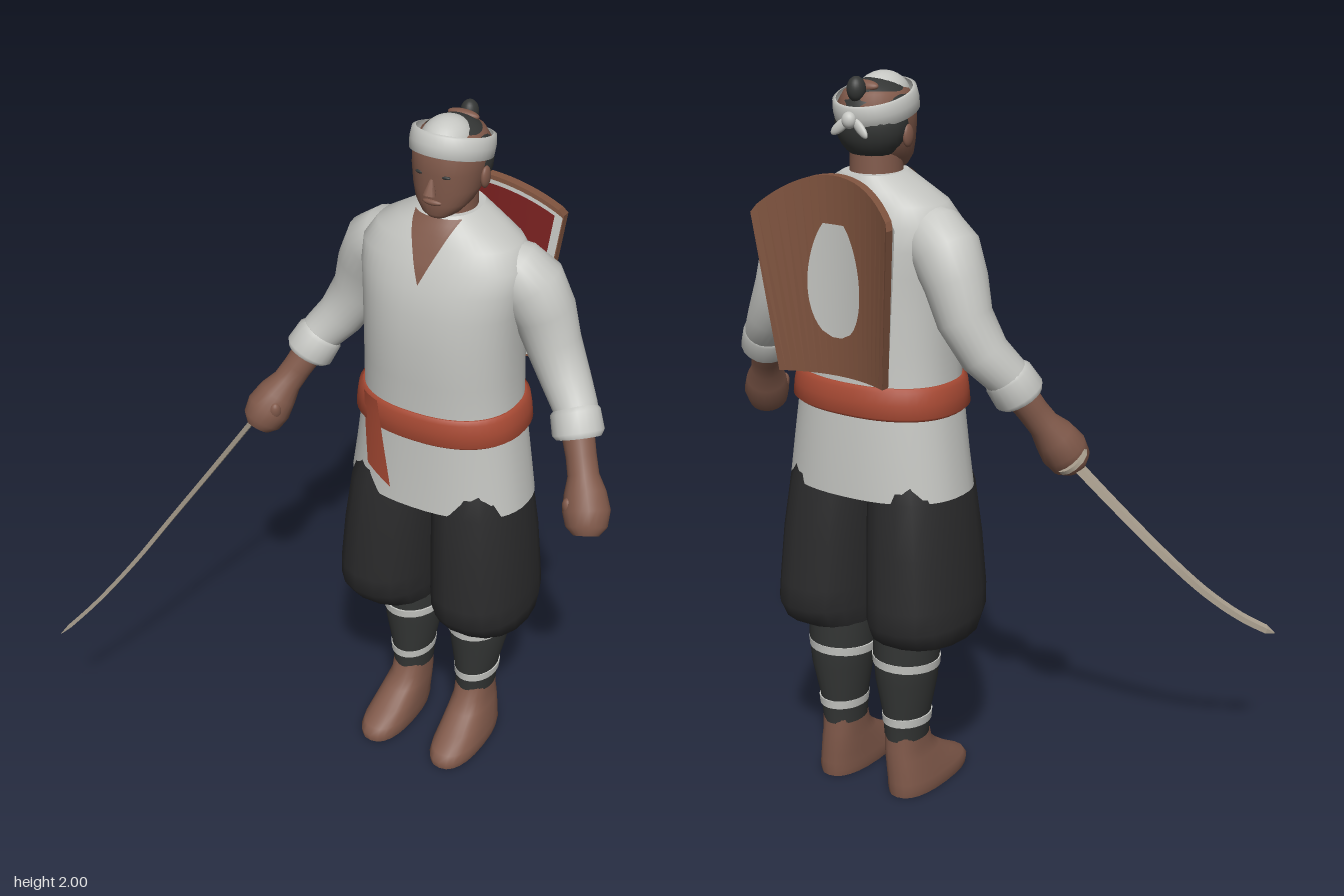
import * as THREE from 'three';

const V = (x, y, z) => new THREE.Vector3(x, y, z);
const paint = (name, color, side = THREE.FrontSide) => {
  const m = new THREE.MeshStandardMaterial({ color, side });
  m.name = name;
  return m;
};

export function createModel() {
  const cloth = paint('off-white cloth', 0xc6c7c3, THREE.DoubleSide);
  const skin = paint('brown skin', 0x80594a, THREE.DoubleSide);
  const rust = paint('rust sash', 0xa84a34, THREE.DoubleSide);
  const black = paint('black trousers', 0x2b2b2c);
  const dark = paint('dark wraps and hair', 0x343635);
  const wood = paint('wood', 0x80543f);
  const red = paint('dark red', 0x78201f, THREE.DoubleSide);
  const steel = paint('pale steel', 0xb0a594);

  const model = new THREE.Group();
  model.name = 'swordsman';
  const body = new THREE.Group();
  body.name = 'body';
  body.position.x = 0.175;
  model.add(body);

  const add = (name, geo, mat, pos = [0, 0, 0], rot = [0, 0, 0]) => {
    const m = new THREE.Mesh(geo, mat);
    m.name = name;
    m.position.set(...pos);
    m.rotation.set(...rot);
    body.add(m);
    return m;
  };
  const ball = (name, mat, pos, r, rot) => add(name, new THREE.SphereGeometry(1, 24, 16).scale(...r), mat, pos, rot);

  // Joins rings of points (counter-clockwise about the path) and caps both ends
  const skinRings = (rings, flat = false) => {
    const n = rings[0].length, pts = rings.flat(), index = [];
    for (let i = 0; i < rings.length - 1; i++)
      for (let j = 0; j < n; j++) {
        const a = i * n + j, b = i * n + (j + 1) % n;
        index.push(a, b, b + n, a, b + n, a + n);
      }
    [[rings[0], true], [rings[rings.length - 1], false]].forEach(([ring, start]) => {
      const base = pts.length, mid = V(0, 0, 0);
      ring.forEach((p) => mid.addScaledVector(p, 1 / n));
      pts.push(...ring, mid);
      for (let j = 0; j < n; j++) {
        const k = (j + 1) % n;
        index.push(base + n, base + (start ? k : j), base + (start ? j : k));
      }
    });
    let g = new THREE.BufferGeometry().setFromPoints(pts);
    g.setIndex(index);
    if (flat) g = g.toNonIndexed();
    g.computeVertexNormals();
    return g;
  };

  // Stack of horizontal rounded sections [y, x, z, halfWidth, halfDepth], bottom first
  const sgnPow = (c, e) => Math.sign(c) * Math.abs(c) ** e;
  const stack = (rows, seg = 32, p = 2, tilt = 0, s = 1) => skinRings(rows.map(([y, x, z, rx, rz]) =>
    Array.from({ length: seg }, (_, j) => {
      const a = j / seg * Math.PI * 2, c = Math.cos(a), q = Math.sin(a);
      return V(s * x + rx * sgnPow(c, 2 / p), y + tilt * Math.sin(a + 0.6), z - rz * sgnPow(q, 2 / p));
    })));

  // Round limb along points [x, y, z, radius]
  const limb = (rows, s, seg = 20) => {
    const c = rows.map(([x, y, z]) => V(s * x, y, z));
    return skinRings(c.map((p, i) => {
      const t = c[Math.min(i + 1, c.length - 1)].clone().sub(c[Math.max(i - 1, 0)]).normalize();
      const u = t.clone().cross(V(0, 0, 1)).normalize(), v = t.clone().cross(u);
      return Array.from({ length: seg }, (_, j) => {
        const a = j / seg * Math.PI * 2, r = rows[i][3];
        return p.clone().addScaledVector(u, r * Math.cos(a)).addScaledVector(v, r * Math.sin(a));
      });
    }));
  };

  // Thin patch from a rule f(u, v), u in -1..1 and v in 0..1
  const patch = (f, nu = 12, nv = 12) => {
    const pts = [], index = [];
    for (let i = 0; i <= nv; i++) for (let j = 0; j <= nu; j++) {
      pts.push(f(j / nu * 2 - 1, i / nv));
      const a = i * (nu + 1) + j;
      if (i < nv && j < nu) index.push(a, a + 1, a + nu + 2, a, a + nu + 2, a + nu + 1);
    }
    const g = new THREE.BufferGeometry().setFromPoints(pts);
    g.setIndex(index);
    g.computeVertexNormals();
    return g;
  };

  // Tunic
  const P = 2.3;
  const torso = [
    [0.90, 0, -0.198, 0.265, 0.183], [1.00, 0, -0.197, 0.25, 0.18], [1.13, 0, -0.193, 0.232, 0.175],
    [1.20, 0, -0.19, 0.222, 0.172], [1.30, 0, -0.185, 0.22, 0.175], [1.40, 0, -0.18, 0.22, 0.174],
    [1.50, 0, -0.18, 0.225, 0.17], [1.57, 0, -0.185, 0.235, 0.16], [1.63, 0, -0.19, 0.235, 0.145],
    [1.68, 0, -0.195, 0.20, 0.125], [1.715, 0, -0.20, 0.14, 0.11], [1.75, 0, -0.205, 0.08, 0.09]];
  add('tunic', stack(torso, 48, P), cloth);
  const onTunic = (x, y, lift) => {
    const i = Math.max(1, torso.findIndex((r) => r[0] >= y)), a = torso[i - 1], b = torso[i];
    const [, , cz, rx, rz] = a.map((k, n) => k + (b[n] - k) * (y - a[0]) / (b[0] - a[0]));
    return V(x, y, cz + lift + rz * Math.max(0, 1 - Math.abs(x / rx) ** P) ** (1 / P));
  };
  add('openCollar', patch((u, v) => onTunic(u * 0.068 * v, 1.585 + 0.16 * v, 0.006)), skin);

  // Sash with its hanging end
  add('sash', stack([[1.122, 0, -0.193, 0.236, 0.178], [1.132, 0, -0.193, 0.247, 0.19], [1.168, 0, -0.192, 0.243, 0.189],
    [1.2, 0, -0.19, 0.237, 0.186], [1.21, 0, -0.19, 0.226, 0.176]], 48, P, 0.004), rust);
  add('sashEnd', patch((u, v) => {
    const y = 1.21 - 0.24 * v - 0.02 * v * u;
    return onTunic(-0.14 + 0.035 * v + u * (0.03 + 0.012 * v), y, 0.02 - 0.008 * v);
  }), rust);

  for (const s of [-1, 1]) {
    const side = s > 0 ? 'left' : 'right';
    // Arms
    add(side + 'Sleeve', limb([[0.13, 1.62, -0.2, 0.07], [0.185, 1.595, -0.21, 0.088], [0.228, 1.56, -0.22, 0.094],
      [0.265, 1.49, -0.23, 0.085], [0.295, 1.40, -0.235, 0.075], [0.345, 1.31, -0.22, 0.067],
      [0.39, 1.255, -0.19, 0.06], [0.41, 1.22, -0.17, 0.056]], s, 24), cloth);
    add(side + 'Cuff', limb([[0.388, 1.256, -0.187, 0.058], [0.393, 1.247, -0.183, 0.067], [0.415, 1.2, -0.163, 0.07],
      [0.42, 1.188, -0.158, 0.06]], s), cloth);
    add(side + 'ForearmAndFist', limb([[0.405, 1.22, -0.17, 0.045], [0.44, 1.15, -0.135, 0.041], [0.46, 1.11, -0.112, 0.042],
      [0.478, 1.075, -0.09, 0.056], [0.495, 1.035, -0.068, 0.064], [0.507, 1.0, -0.048, 0.056], [0.513, 0.98, -0.036, 0.034]], s), skin);
    ball(side + 'Thumb', skin, [s * 0.462, 1.04, -0.045], [0.022, 0.04, 0.022], [0.3, 0, s * 0.3]);

    // Trousers, leg wraps and feet
    add(side + 'TrouserLeg', stack([[0.477, 0.135, -0.215, 0.11, 0.13], [0.49, 0.146, -0.21, 0.135, 0.16], [0.54, 0.149, -0.205, 0.138, 0.193],
      [0.6, 0.147, -0.2, 0.138, 0.193], [0.75, 0.139, -0.197, 0.133, 0.185], [0.9, 0.128, -0.193, 0.124, 0.17],
      [0.98, 0.12, -0.195, 0.11, 0.15]], 18, 2.3, 0, s), black);
    add(side + 'LegWrap', stack([[0.17, 0.106, -0.245, 0.056, 0.073], [0.25, 0.107, -0.245, 0.063, 0.08], [0.35, 0.109, -0.247, 0.083, 0.095],
      [0.42, 0.109, -0.247, 0.089, 0.1], [0.52, 0.109, -0.247, 0.09, 0.1]], 24, 2, 0, s), dark);
    [[0.218, 0.063, 0.08, 0.003], [0.392, 0.09, 0.101, 0.009]].forEach(([y, rx, rz, tilt]) =>
      add(side + 'WrapCord', stack([[y, 0.108, -0.246, rx, rz], [y + 0.024, 0.108, -0.246, rx + 0.002, rz + 0.002]], 24, 2, tilt, s), cloth));
    add(side + 'Foot', stack([[0, 0.118, -0.16, 0.066, 0.157], [0.02, 0.118, -0.16, 0.07, 0.16], [0.04, 0.117, -0.168, 0.068, 0.152],
      [0.07, 0.114, -0.195, 0.064, 0.125], [0.11, 0.11, -0.225, 0.058, 0.095], [0.14, 0.107, -0.24, 0.053, 0.078],
      [0.19, 0.106, -0.246, 0.052, 0.07]], 24, 2.4, 0, s), skin);
    // Face details
    ball(side + 'Ear', skin, [s * 0.097, 1.845, -0.195], [0.011, 0.03, 0.02]);
    ball(side + 'Eye', dark, [s * 0.036, 1.868, -0.095], [0.014, 0.005, 0.006]);
  }

  // Neck and head
  add('neck', stack([[1.6, 0, -0.2, 0.08, 0.08], [1.72, 0, -0.2, 0.07, 0.075], [1.82, 0, -0.2, 0.066, 0.07]]), skin);
  add('head', stack([[1.745, 0, -0.145, 0.032, 0.042], [1.757, 0, -0.15, 0.05, 0.056], [1.785, 0, -0.163, 0.074, 0.072],
    [1.82, 0, -0.183, 0.088, 0.094], [1.87, 0, -0.19, 0.095, 0.104], [1.92, 0, -0.195, 0.097, 0.108],
    [1.955, 0, -0.195, 0.078, 0.088], [1.975, 0, -0.195, 0.045, 0.05]], 32, 2.2), skin);
  add('nose', new THREE.ConeGeometry(0.018, 0.06, 8), skin, [0, 1.845, -0.088], [-0.3, 0, 0]);
  ball('mouth', skin, [0, 1.793, -0.096], [0.028, 0.009, 0.012]);

  // Hair, crown cloth and topknot
  ball('backHair', dark, [0, 1.875, -0.216], [0.1, 0.1, 0.09]);
  add('topHair', new THREE.SphereGeometry(1, 32, 10, 0, Math.PI * 2, 0, Math.PI * 0.42).scale(0.103, 0.1, 0.112), dark, [0, 1.888, -0.197]);
  ball('crownCloth', cloth, [0, 1.935, -0.165], [0.068, 0.065, 0.08]);
  ball('shavedPatch', skin, [0, 1.972, -0.25], [0.045, 0.014, 0.018], [-0.4, 0, 0]);
  ball('topknot', dark, [0, 1.967, -0.282], [0.024, 0.033, 0.026]);

  // Headband, tilted down to a knot at the back
  const band = [[0.098, -0.03], [0.107, -0.027], [0.109, 0], [0.106, 0.027], [0.097, 0.03]].map((p) => new THREE.Vector2(...p));
  add('headband', new THREE.LatheGeometry(band, 40).scale(1, 1, 1.09), cloth, [0, 1.922, -0.197], [-0.24, 0, 0]);
  ball('bandKnot', cloth, [0, 1.893, -0.316], [0.02, 0.022, 0.018]);
  for (const s of [-1, 1]) ball('bandTail', cloth, [s * 0.03, 1.875, -0.312], [0.034, 0.014, 0.009], [0, s * 0.2, -s * 0.7]);

  // Curved shield on the back
  const shieldZ = (x, y) => -0.355 - (y - 1.235) * 0.015 - 1.5 * x * x;
  const onShield = (u, v, off) => {
    const y = 1.235 + v * (0.53 - 0.105 * u * u), x = u * (0.165 + 0.055 * (y - 1.235) / 0.425);
    return V(Math.max(-0.212, Math.min(0.212, x)), y, shieldZ(x, y) + off);
  };
  const shieldRings = Array.from({ length: 21 }, (_, i) => {
    const u = i / 10 - 1;
    return [onShield(u, 0, -0.027), onShield(u, 1, -0.027), onShield(u, 1, 0), onShield(u, 0, 0)];
  });
  add('shield', skinRings(shieldRings, true), wood);
  const lining = (name, mat, w, v0, v1, off) => add(name, patch((u, v) => onShield(u * w, v0 + v * (v1 - v0), off), 20, 4), mat);
  lining('shieldLining', cloth, 0.97, 0.02, 0.98, 0.003);
  lining('shieldRedPanel', red, 0.88, 0.04, 0.96, 0.005);
  for (const v of [0.12, 0.26, 0.4, 0.54]) lining('shieldStripe', cloth, 0.88, v, v + 0.06, 0.007);
  add('shieldEmblem', patch((u, v) => {
    const y = 1.34 + 0.3 * v, x = u * 0.082 * Math.sqrt(Math.sin(Math.PI * (0.01 + 0.94 * v ** 0.8)));
    return V(x, y, shieldZ(x, y) - 0.031);
  }, 12, 20), cloth);

  // Curved sword held in the right hand
  const path = new THREE.CatmullRomCurve3([[-0.345, 1.02, -0.08], [-0.44, 0.855, 0.03], [-0.53, 0.70, 0.14],
    [-0.60, 0.575, 0.245], [-0.665, 0.475, 0.35], [-0.725, 0.402, 0.448]].map(([x, y, z]) => V(x - 0.175, y, z)));
  const start = path.getPoint(0), dir = path.getTangent(0);
  const flatSide = path.getPoint(0.5).sub(start).cross(path.getPoint(1).sub(start)).normalize();
  const blade = Array.from({ length: 21 }, (_, i) => {
    const k = i / 20, p = path.getPoint(k), t = path.getTangent(k);
    const w = flatSide.clone().cross(t).normalize(), n = t.clone().cross(w);
    const half = i === 20 ? 0.002 : 0.018 - 0.005 * k, thick = i === 20 ? 0.001 : 0.006;
    return [[w, half], [n, thick], [w, -half], [n, -thick]].map(([d, r]) => p.clone().addScaledVector(d, r));
  });
  add('blade', skinRings(blade, true), steel);
  const along = (name, geo, mat, dist) => {
    const m = add(name, geo, mat, start.clone().addScaledVector(dir, dist).toArray());
    m.quaternion.setFromUnitVectors(V(0, 1, 0), dir);
  };
  along('guard', new THREE.CylinderGeometry(0.048, 0.048, 0.012, 12), steel, 0.01);
  along('handle', new THREE.CylinderGeometry(0.016, 0.016, 0.1, 10), wood, -0.045);

  return model;
}
